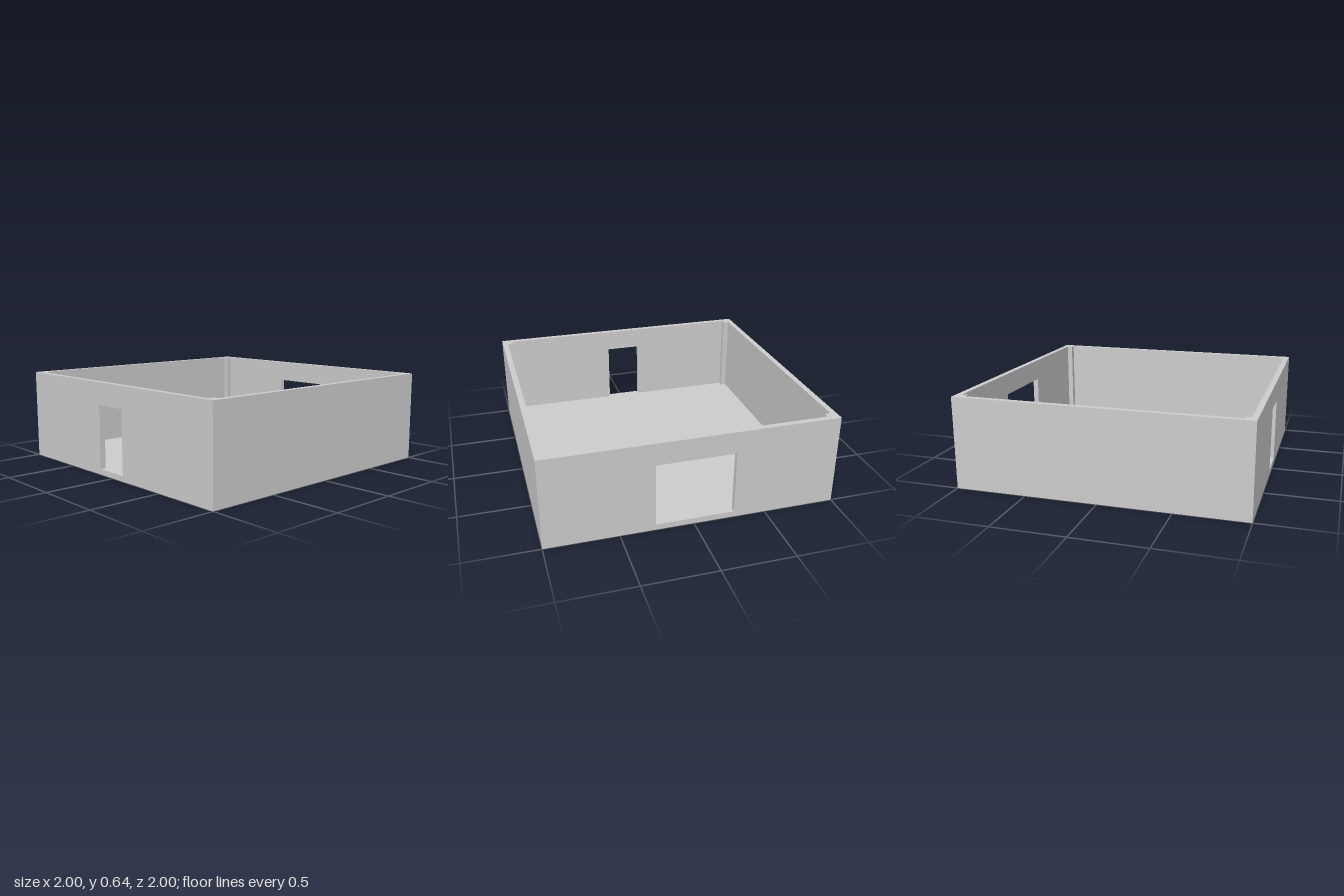
import * as THREE from 'three';

const WALL = 0.04, FLOOR = 0.04, HEIGHT = 0.64, LINTEL = 0.485;
const material = new THREE.MeshStandardMaterial({ color: 0xcccccc });

function add(group, name, geometry, x, y, z) {
  const mesh = new THREE.Mesh(geometry, material);
  mesh.name = name;
  mesh.position.set(x, y, z);
  group.add(mesh);
}

// Wall standing on the floor, notched from x0 to x1 up to the lintel
function wallWithOpening(x0, x1) {
  const points = [
    [-1, FLOOR], [x0, FLOOR], [x0, LINTEL], [x1, LINTEL],
    [x1, FLOOR], [1, FLOOR], [1, HEIGHT], [-1, HEIGHT],
  ];
  const shape = new THREE.Shape(points.map(([x, y]) => new THREE.Vector2(x, y)));
  return new THREE.ExtrudeGeometry(shape, { depth: WALL, bevelEnabled: false });
}

export function createModel() {
  const room = new THREE.Group();
  room.name = 'room';

  const rise = HEIGHT - FLOOR;
  const midY = (HEIGHT + FLOOR) / 2;

  add(room, 'floor', new THREE.BoxGeometry(2, FLOOR, 2), 0, FLOOR / 2, 0);

  // Front wall with doorway, back wall with wide opening
  add(room, 'frontWall', wallWithOpening(-0.145, 0.115), 0, 0, 1 - WALL);
  add(room, 'backWall', wallWithOpening(-0.28, 0.26), 0, 0, -1);

  // Side walls and square posts in the inner corners
  for (const sx of [-1, 1]) {
    const side = sx > 0 ? 'left' : 'right';
    add(room, side + 'Wall', new THREE.BoxGeometry(WALL, rise, 2 - 2 * WALL),
      sx * (1 - WALL / 2), midY, 0);
    for (const sz of [-1, 1]) {
      add(room, side + (sz > 0 ? 'Front' : 'Back') + 'CornerPost',
        new THREE.BoxGeometry(WALL, rise, WALL),
        sx * (1 - 1.5 * WALL), midY, sz * (1 - 1.5 * WALL));
    }
  }
  return room;
}
